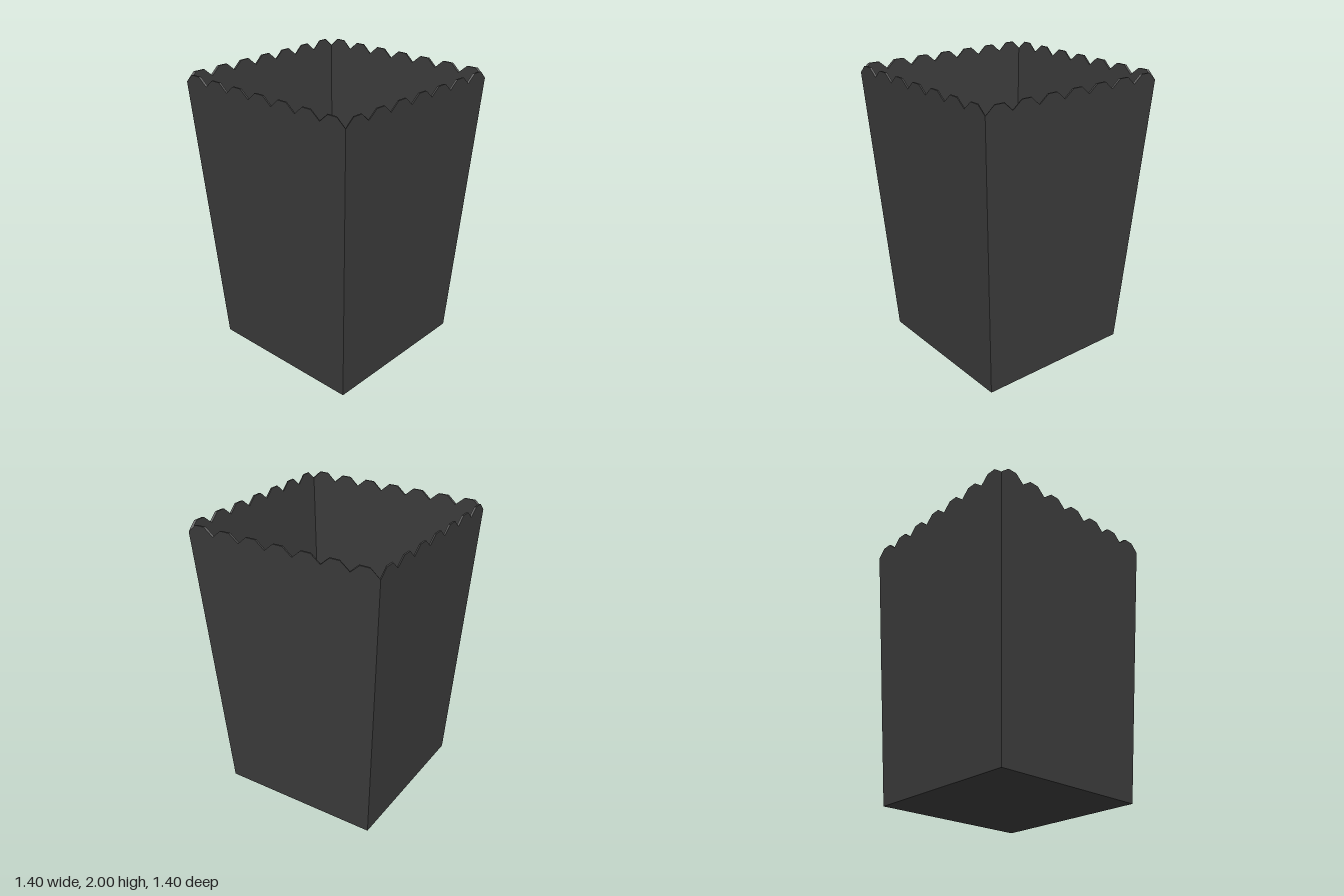
import * as THREE from 'three';

const BASE = 0.58, TOP = 0.70, HEIGHT = 2, THICK = 0.012;
const TEETH = 7, VALLEY = 1.945, FLAT = 0.035;

// half width of the box at height y
const halfWidth = (y) => BASE + (TOP - BASE) * y / HEIGHT;

// one tapered wall with a scalloped rim, mitred at both corners
function wallGeometry() {
  const shape = new THREE.Shape();
  const pitch = 2 * TOP / TEETH;
  shape.moveTo(-BASE, 0);
  shape.lineTo(BASE, 0);
  shape.lineTo(halfWidth(VALLEY), VALLEY);
  for (let i = 0; i < TEETH; i++) {
    const centre = TOP - (i + 0.5) * pitch;
    shape.lineTo(centre + FLAT, HEIGHT);
    shape.lineTo(centre - FLAT, HEIGHT);
    const end = i === TEETH - 1 ? -halfWidth(VALLEY) : centre - pitch / 2;
    shape.lineTo(end, VALLEY);
  }
  const geometry = new THREE.ExtrudeGeometry(shape, { depth: THICK, bevelEnabled: false });
  // lean the wall outward and narrow its inner face to meet its neighbours
  const p = geometry.attributes.position;
  for (let i = 0; i < p.count; i++) {
    const h = halfWidth(p.getY(i));
    const z = h - THICK + p.getZ(i);
    p.setX(i, p.getX(i) * z / h);
    p.setZ(i, z);
  }
  geometry.computeVertexNormals();
  return geometry;
}

export function createModel() {
  const group = new THREE.Group();
  group.name = 'scallopedBox';
  const material = new THREE.MeshStandardMaterial({ color: 0x3c3c3c });

  // four walls
  const geometry = wallGeometry();
  ['frontWall', 'leftWall', 'backWall', 'rightWall'].forEach((name, i) => {
    const wall = new THREE.Mesh(geometry, material);
    wall.name = name;
    wall.rotation.y = i * Math.PI / 2;
    group.add(wall);
  });

  // floor
  const side = 2 * (BASE - THICK / 2);
  const floor = new THREE.Mesh(new THREE.BoxGeometry(side, THICK, side), material);
  floor.name = 'floor';
  floor.position.y = THICK / 2;
  group.add(floor);

  return group;
}
